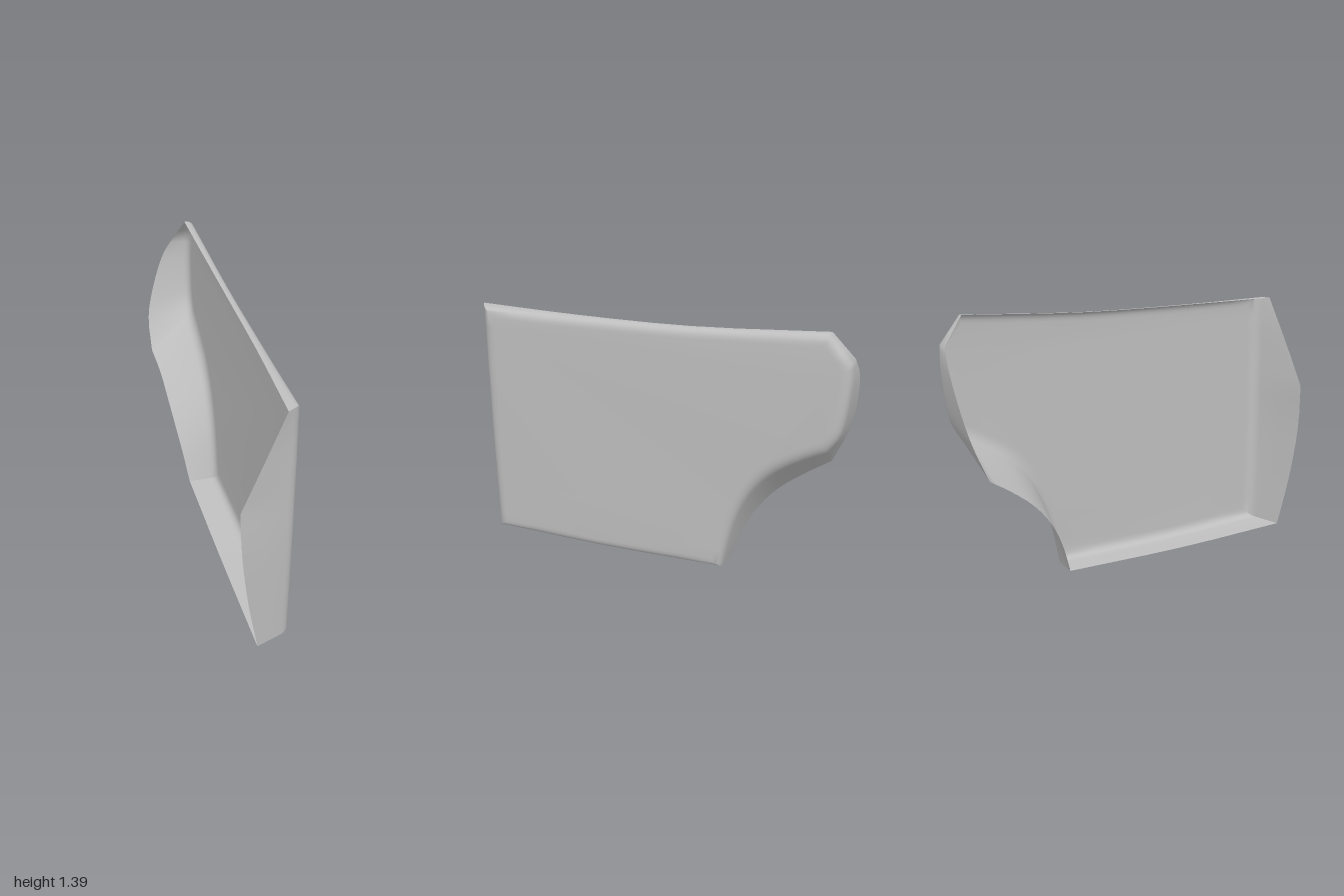
import * as THREE from 'three';
import { mergeVertices, toCreasedNormals } from 'three/addons/utils/BufferGeometryUtils.js';

// Sides of the panel, clockwise seen from +x. Each station is
// [free edge z, y, x, face corner z, y]; the face corner defaults to the edge.
// A side ends at the first station of the next one.
const frontLower = [[0.96, 0.005, -0.05, 0.9, 0.012], [0.985, 0.3, -0.108, 0.905, 0.3], [1, 0.6, -0.147, 0.91, 0.6]];
const frontUpper = [[0.996, 0.83, -0.157, 0.91, 0.83], [0.98, 1, -0.075, 0.91, 1]];
const topLip = [[0.945, 1.285, 0.065, 0.9, 1.285], [0.4, 1.303, 0.09], [-0.2, 1.333, 0.1]];
const clippedCorner = [[-0.88, 1.4, 0.095]];
const rear = [[-0.988, 1.27, 0.06], [-1, 1.17, 0, -0.99, 1.17],
  [-0.98, 0.97, -0.07, -0.975, 1], [-0.945, 0.82, -0.105, -0.95, 0.89]];
const wheelArch = [[-0.87, 0.645, -0.108, -0.9, 0.82], [-0.75, 0.565, -0.09, -0.74, 0.73],
  [-0.62, 0.46, -0.08, -0.62, 0.645], [-0.52, 0.34, -0.065, -0.52, 0.52], [-0.45, 0.21, -0.045, -0.44, 0.33]];
const bottom = [[-0.39, 0.04, -0.02, -0.38, 0.045], [0.3, 0.01, -0.035, 0.3, 0.015]];
const SIDES = [frontLower, frontUpper, topLip, clippedCorner, rear, wheelArch, bottom];

const ROUND = 0.05; // softness of the edge between face and flanges
const faceX = (z, y) => 0.132 + 0.009 * y - 0.004 * z;
const onFace = (z, y) => new THREE.Vector3(faceX(z, y), y, z);

// Smooth both outlines side by side, keeping the corners between sides
function outlines() {
  const edge = [], corner = [];
  SIDES.forEach((side, i) => {
    const pts = [...side, SIDES[(i + 1) % SIDES.length][0]];
    const e = new THREE.CatmullRomCurve3(pts.map(([z, y, x]) => new THREE.Vector3(x, y, z)));
    const k = new THREE.CatmullRomCurve3(pts.map(([z, y, , kz = z, ky = y]) => onFace(kz, ky)));
    const steps = 3 * side.length;
    edge.push(...e.getPoints(steps).slice(0, -1));
    corner.push(...k.getPoints(steps).slice(0, -1));
  });
  return { edge, corner };
}

// Mitred inward offset of the face outline
function inset(loop, d) {
  const n = loop.length;
  const normal = (a, b) => new THREE.Vector2(a.y - b.y, b.z - a.z).normalize();
  return loop.map((p, i) => {
    const before = normal(loop[(i + n - 1) % n], p);
    const m = before.clone().add(normal(p, loop[(i + 1) % n])).normalize();
    m.multiplyScalar(d / Math.max(0.6, m.dot(before)));
    return onFace(p.z + m.x, p.y + m.y);
  });
}

function panelGeometry() {
  const { edge, corner } = outlines();
  const face = inset(corner, ROUND);
  const n = edge.length, bend = 6;

  // Sections from the free edge, across the flange, round the bend, to the face
  const sections = edge.map((e, i) => {
    const k = corner[i];
    const start = k.clone().lerp(e, Math.min(0.9, ROUND / k.distanceTo(e)));
    const arc = new THREE.QuadraticBezierCurve3(start, k, face[i]);
    const bendPoints = arc.getPoints(bend).map(p => new THREE.Vector3(p.x, p.y, 0));
    bendPoints.forEach((p, j) => {
      const t = j / bend;
      p.copy(start).lerp(k, t).lerp(k.clone().lerp(face[i], t), t);
    });
    return [e, e.clone().lerp(start, 0.5), ...bendPoints];
  });
  const rings = sections[0].length;
  const pos = sections.flat().flatMap(p => [p.x, p.y, p.z]);
  const index = [];
  for (let i = 0; i < n; i++) {
    for (let j = 0; j < rings - 1; j++) {
      const a = i * rings + j, b = a + 1;
      const c = ((i + 1) % n) * rings + j, d = c + 1;
      index.push(a, b, c, b, d, c);
    }
  }

  // Flat outer face filling the last ring
  const flat = face.map(p => new THREE.Vector2(-p.z, p.y));
  for (const [a, b, c] of THREE.ShapeUtils.triangulateShape(flat, [])) {
    const ccw = THREE.ShapeUtils.area([flat[a], flat[b], flat[c]]) > 0;
    const t = ccw ? [a, b, c] : [a, c, b];
    index.push(...t.map(v => v * rings + rings - 1));
  }

  const geo = new THREE.BufferGeometry();
  geo.setAttribute('position', new THREE.Float32BufferAttribute(pos, 3));
  geo.setIndex(index);
  return toCreasedNormals(mergeVertices(geo), 0.7);
}

export function createModel() {
  const paint = new THREE.MeshStandardMaterial({ color: 0xbfbfbf, side: THREE.DoubleSide });
  paint.name = 'light grey';
  const panel = new THREE.Mesh(panelGeometry(), paint);
  panel.name = 'doorPanel';
  const group = new THREE.Group();
  group.name = 'door';
  group.add(panel);
  return group;
}
